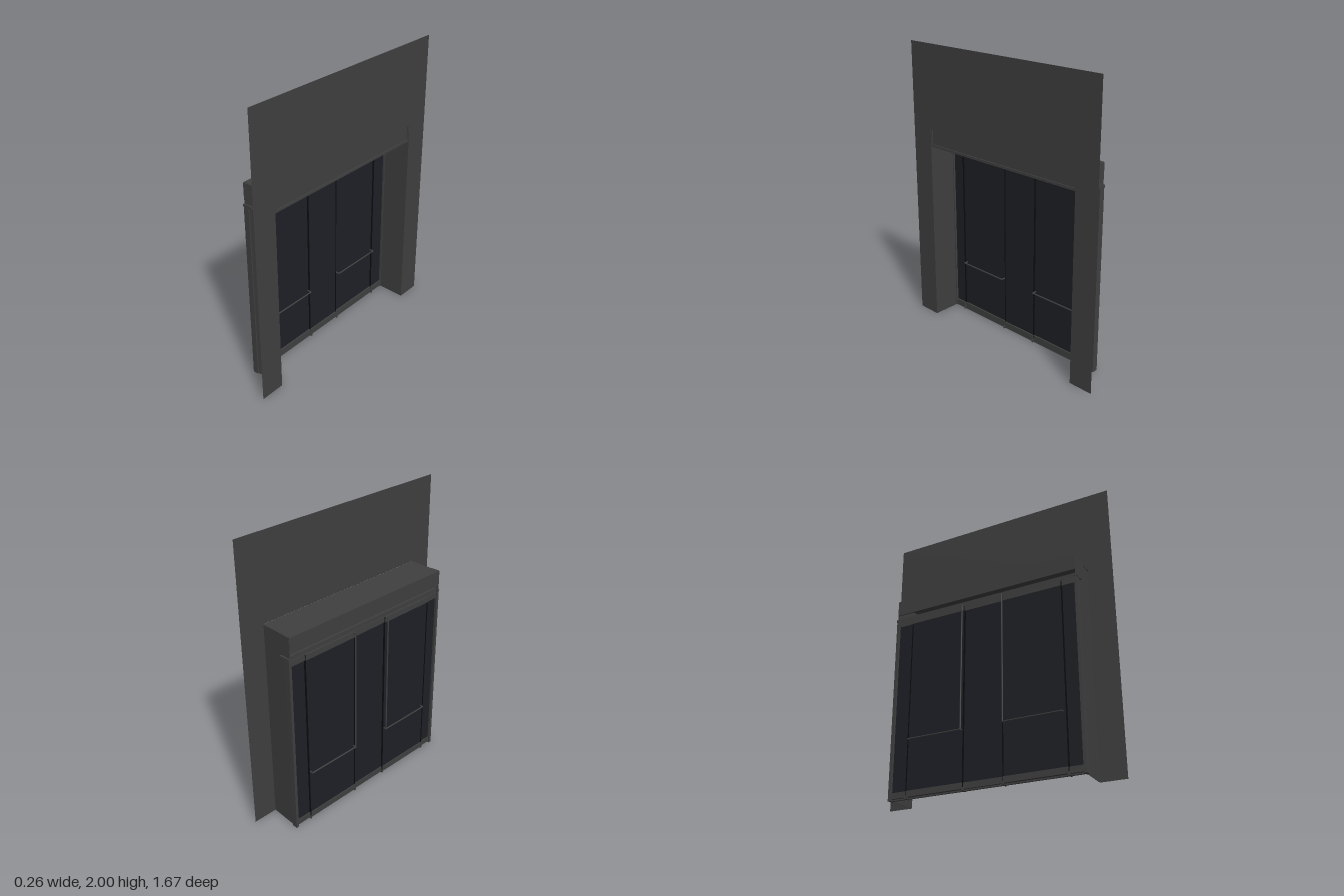
import * as THREE from 'three';

const material = (color, side = THREE.FrontSide) => new THREE.MeshStandardMaterial({ color, side });
const wallMat = material(0x404040, THREE.DoubleSide);
const frameMat = material(0x404040);
const glassMat = material(0x1e2026);
const seamMat = material(0x0c0c0e);

export function createModel() {
  const model = new THREE.Group();

  const add = (name, geometry, mat) => {
    const mesh = new THREE.Mesh(geometry, mat);
    mesh.name = name;
    model.add(mesh);
    return mesh;
  };
  // Box given by its limits on each axis
  const box = (name, [x0, x1], [y0, y1], [z0, z1], mat = frameMat) => {
    const g = new THREE.BoxGeometry(x1 - x0, y1 - y0, Math.abs(z1 - z0));
    g.translate((x0 + x1) / 2, (y0 + y1) / 2, (z0 + z1) / 2);
    return add(name, g, mat);
  };
  // Thin round rod between two points
  const rod = (name, a, b, r = 0.005) => {
    const from = new THREE.Vector3(...a), to = new THREE.Vector3(...b);
    const dir = to.clone().sub(from);
    const mesh = add(name, new THREE.CylinderGeometry(r, r, dir.length(), 8), frameMat);
    mesh.position.copy(from).add(to).multiplyScalar(0.5);
    mesh.quaternion.setFromUnitVectors(new THREE.Vector3(0, 1, 0), dir.normalize());
  };

  // Thin facade sheet with the entrance cut out of it
  const outline = [[-0.835, 0], [-0.66, 0], [-0.66, 1.42], [0.66, 1.42],
    [0.66, 0], [0.835, 0], [0.835, 2], [-0.835, 2]];
  const sheet = new THREE.ShapeGeometry(new THREE.Shape(outline.map(p => new THREE.Vector2(...p))));
  sheet.rotateY(Math.PI / 2).translate(0.13, 0, 0);
  add('facadeWall', sheet, wallMat);

  for (const s of [-1, 1]) {
    // Side reveal, splayed slightly outward toward the doors
    const plan = new THREE.Shape([[0.13, 0.66], [0.13, 0.662], [-0.11, 0.675], [-0.11, 0.671]]
      .map(([x, z]) => new THREE.Vector2(x, -s * z)));
    const reveal = new THREE.ExtrudeGeometry(plan, { depth: 1.42, bevelEnabled: false });
    reveal.rotateX(-Math.PI / 2);
    add('sideReveal', reveal, wallMat);
    // Door jamb and the end of the sliding track
    box('doorJamb', [-0.11, -0.07], [0, 1.26], [s * 0.662, s * 0.682]);
    rod('trackPin', [-0.035, 1.275, s * 0.66], [-0.035, 1.275, s * 0.685], 0.004);
    box('trackEnd', [-0.112, -0.045], [1.262, 1.28], [s * 0.665, s * 0.684]);
  }

  // Header over the entrance: roof, soffit, back panel, transom
  box('headerRoof', [-0.113, 0.129], [1.414, 1.42], [-0.668, 0.668]);
  box('headerSoffit', [-0.075, 0.125], [1.288, 1.294], [-0.664, 0.664]);
  box('headerBack', [-0.113, -0.105], [1.31, 1.418], [-0.674, 0.674]);
  box('transomPanel', [0.112, 0.12], [1.294, 1.416], [-0.658, 0.658]);
  for (const y of [1.296, 1.409]) box('transomRail', [0.108, 0.128], [y, y + 0.01], [-0.658, 0.658]);
  for (const z of [-0.658, 0.648]) box('transomStile', [0.108, 0.128], [1.296, 1.419], [z, z + 0.01]);

  // Sliding track beam above the doors
  box('trackBeam', [-0.1, -0.062], [1.26, 1.29], [-0.668, 0.668]);

  // Five door bays: glass, top rail and bottom rail; the two leaves sit further back
  const edges = [-0.662, -0.55, -0.135, 0.145, 0.57, 0.662];
  for (let i = 0; i < 5; i++) {
    const d = i % 2 ? -0.006 : 0;
    const z = [edges[i] + 0.002, edges[i + 1] - 0.002];
    box('glassPanel', [-0.096 + d, -0.082 + d], [0.05, 1.22], z, glassMat);
    box('topRail', [-0.105 + d, -0.072 + d], [1.22, 1.26], z);
    box('bottomRail', [-0.103 + d, -0.072 + d], [0.01, 0.05], z);
  }
  // Dark seams between bays, with floor guides beneath
  for (const z of edges.slice(1, 5)) {
    box('doorSeam', [-0.106, -0.079], [0.01, 1.255], [z - 0.003, z + 0.003], seamMat);
    box('floorGuide', [-0.11, -0.065], [0, 0.022], [z - 0.005, z + 0.005]);
  }
  box('threshold', [-0.09, -0.078], [0, 0.012], [-0.665, 0.665]);

  // Door handles: tall L-shaped bar outside, short horizontal bar inside
  for (const [inner, outer] of [[-0.145, -0.54], [0.155, 0.55]]) {
    const y = 0.385, out = -0.125, inside = -0.058;
    rod('outerHandlePost', [out, y, inner], [out, 1.26, inner]);
    rod('outerHandleBar', [out, y, inner], [out, y, outer]);
    rod('outerHandleTopBracket', [out, 1.255, inner], [-0.095, 1.255, inner]);
    rod('innerHandleBar', [inside, y, inner], [inside, y, outer]);
    for (const z of [inner, outer]) {
      rod('outerHandleBracket', [out, y, z], [-0.095, y, z]);
      rod('innerHandleBracket', [inside, y, z], [-0.088, y, z]);
    }
  }
  return model;
}
